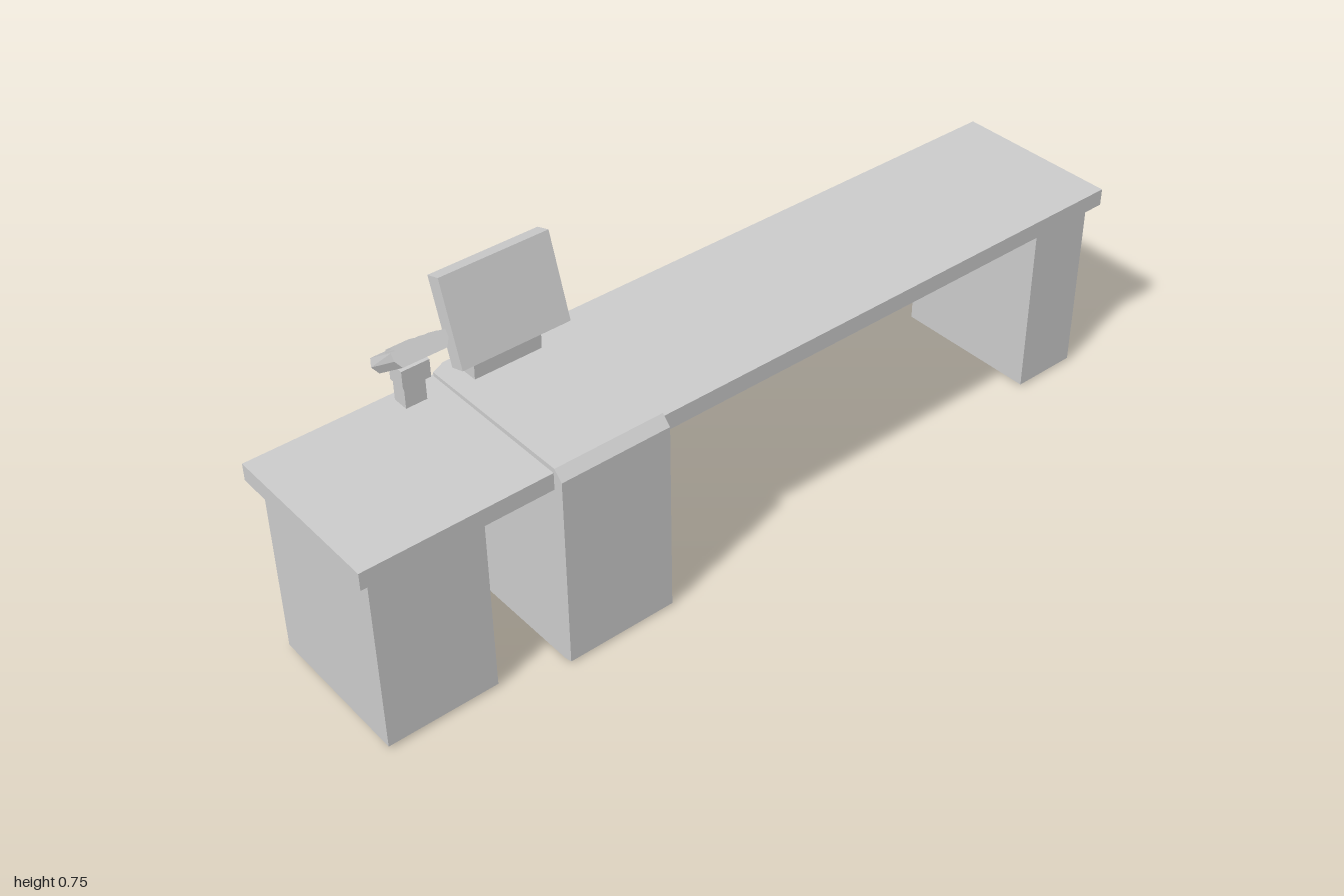
import * as THREE from 'three';

const material = new THREE.MeshStandardMaterial({ color: 0xcccccc, flatShading: true });

export function createModel() {
  const group = new THREE.Group();
  const add = (name, geometry, parent = group) => {
    const mesh = new THREE.Mesh(geometry, material);
    mesh.name = name;
    parent.add(mesh);
    return mesh;
  };

  // Box given by its limits on each axis
  const block = (x0, x1, y0, y1, z0, z1) =>
    new THREE.BoxGeometry(x1 - x0, y1 - y0, z1 - z0)
      .translate((x0 + x1) / 2, (y0 + y1) / 2, (z0 + z1) / 2);

  // Side profile of [z, y] points, extruded across x
  const sideProfile = (points, x0, x1) =>
    new THREE.ExtrudeGeometry(
      new THREE.Shape(points.map(([z, y]) => new THREE.Vector2(-z, y))),
      { depth: x1 - x0, bevelEnabled: false })
      .rotateY(Math.PI / 2).translate(x0, 0, 0);

  // Plan of [x, z] points, extruded up y
  const planProfile = (points, y0, y1) =>
    new THREE.ExtrudeGeometry(
      new THREE.Shape(points.map(([x, z]) => new THREE.Vector2(x, -z))),
      { depth: y1 - y0, bevelEnabled: false })
      .rotateX(-Math.PI / 2).translate(0, y0, 0);

  // Move the vertices of a geometry by a rule
  const reshape = (geometry, rule) => {
    const p = geometry.attributes.position;
    const v = new THREE.Vector3();
    for (let i = 0; i < p.count; i++) {
      rule(v.fromBufferAttribute(p, i));
      p.setXYZ(i, v.x, v.y, v.z);
    }
    geometry.computeVertexNormals();
    return geometry;
  };

  // Long worktop and its two pedestals
  add('worktop', block(-1, 1, 0.447, 0.488, -0.21, 0.197));
  add('widePedestal', block(-0.975, -0.715, 0.01, 0.447, -0.19, 0.177));
  add('narrowPedestal', block(0.81, 0.975, 0.01, 0.447, -0.19, 0.177));

  // Till cabinet: chamfered front edge, cut back corners
  const left = -0.3, right = -0.565, middle = (left + right) / 2;
  add('cabinet', sideProfile([
    [-0.205, 0.003], [0.2, 0.003], [0.22, 0.008], [0.222, 0.478], [0.2, 0.5], [-0.205, 0.497],
  ], right, left));
  add('cabinetBack', planProfile([
    [right, -0.205], [left, -0.205], [left - 0.035, -0.221], [right + 0.035, -0.221],
  ], 0.006, 0.497));

  // Monitor foot, narrowing towards the top
  const foot = sideProfile([
    [-0.13, 0.495], [-0.128, 0.555], [-0.155, 0.588], [-0.183, 0.588], [-0.22, 0.495],
  ], middle - 0.083, middle + 0.083);
  add('monitorFoot', reshape(foot, (v) => {
    if (v.y > 0.57) v.x = middle + (v.x - middle) * 0.78;
  }));

  // Tilted monitor
  const monitor = add('monitor', new THREE.BoxGeometry(left - right, 0.199, 0.039));
  monitor.position.set(middle, 0.652, -0.1415);
  monitor.rotation.x = -0.307;

  // Payment terminal, facing the back, on a short post
  const tx = -0.642;
  add('terminalPost', block(tx - 0.025, tx + 0.025, 0.488, 0.55, -0.19, -0.15));
  add('terminalNeck', block(tx - 0.033, tx + 0.033, 0.545, 0.588, -0.185, -0.14));
  const terminal = new THREE.Group();
  terminal.name = 'paymentTerminal';
  terminal.position.set(tx, 0.611, -0.156);
  terminal.rotation.x = -0.62;
  group.add(terminal);
  const body = new THREE.BoxGeometry(0.125, 0.035, 0.114, 1, 2, 1);
  add('terminalBody', reshape(body, (v) => {
    if (v.y < -0.01) v.x *= 0.82;
    if (v.y > 0.01 && v.z < 0) v.x *= 0.9;
  }), terminal);
  add('terminalDisplay', block(-0.05, 0.05, 0.017, 0.02, 0.005, 0.05), terminal);
  add('terminalKeypad', block(-0.027, 0.027, 0.017, 0.021, -0.042, -0.012), terminal);

  return group;
}
